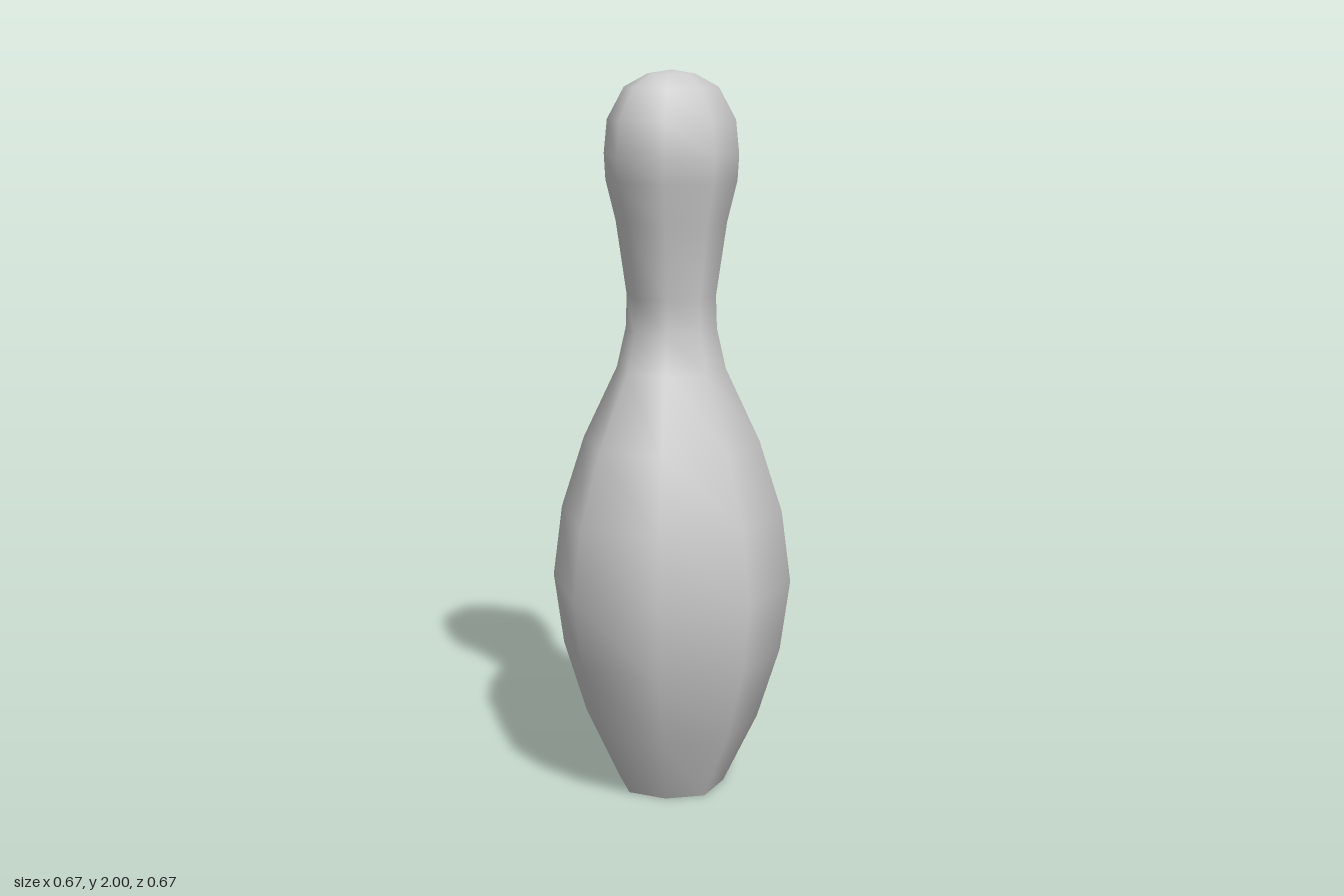
import * as THREE from 'three';
import { mergeVertices } from 'three/addons/utils/BufferGeometryUtils.js';

const SIDES = 8;

// Low-poly turned shape; its diagonal corners are pushed out slightly along z.
function turned(profile) {
  const points = profile.map(([r, y]) => new THREE.Vector2(r, y));
  const lathe = new THREE.LatheGeometry(points, SIDES);
  lathe.deleteAttribute('uv');
  lathe.deleteAttribute('normal');
  const p = lathe.attributes.position;
  for (let i = 0; i < p.count; i++) {
    if (Math.abs(p.getX(i)) > 0.001) p.setZ(i, p.getZ(i) * 1.1);
  }
  // Weld the seam and poles so the shading runs smoothly all round
  const geometry = mergeVertices(lathe, 1e-4);
  geometry.computeVertexNormals();
  return geometry;
}

export function createModel() {
  const group = new THREE.Group();
  group.name = 'pin';
  const material = new THREE.MeshStandardMaterial({ color: 0xcccccc });

  // Belly, neck and rounded head in one smooth skin
  const body = new THREE.Mesh(turned([
    [0.15, 0], [0.245, 0.2], [0.307, 0.4], [0.334, 0.6], [0.308, 0.8],
    [0.244, 1.0], [0.15, 1.2], [0.125, 1.31], [0.122, 1.4], [0.151, 1.6],
    [0.178, 1.71], [0.182, 1.78], [0.173, 1.87], [0.127, 1.955],
    [0.063, 1.99], [0, 2],
  ]), material);
  body.name = 'body';

  // Flat underside with a hard edge
  const base = new THREE.Mesh(turned([[0, 0], [0.15, 0]]), material);
  base.name = 'base';

  group.add(body, base);
  return group;
}
